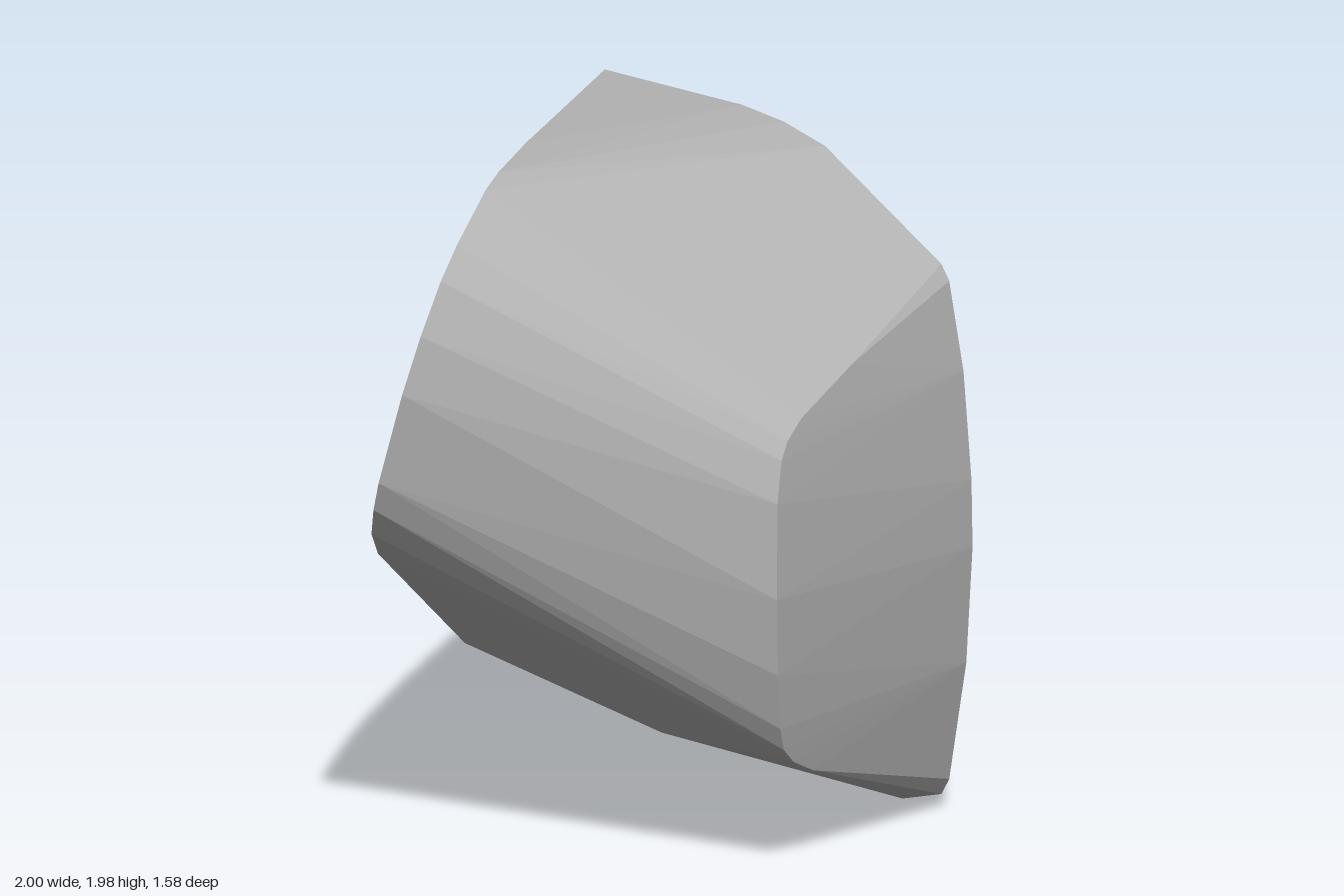
import * as THREE from 'three';
import { ConvexGeometry } from 'three/addons/geometries/ConvexGeometry.js';

// The three faces that cut the block: each gives the missing coordinate
const slantX = (y, z) => -0.737 + 0.2896 * y + 0.395 * z;
const bulgeX = (y, z) => 0.96 - 0.09 * ((y - 0.84) / 0.75) ** 2 + 0.041 * (z + 0.65);
const backZ = (x) => -0.7186 + 0.0714 * x;

export function createModel() {
  const group = new THREE.Group();
  const stone = new THREE.MeshStandardMaterial({ color: 0xb0b0b0 });
  stone.name = 'stone grey';

  // Outline of the large slanted face, as [y, z]
  const slantedFace = [
    [1.965, 0], [1.945, 0.26], [1.92, 0.36], [1.8, 0.55], [1.71, 0.64], [1.56, 0.72],
    [1.39, 0.77], [1.12, 0.79], [1.03, 0.77], [0.94, 0.72], [0.84, 0.58],
  ].map(([y, z]) => new THREE.Vector3(slantX(y, z), y, z));

  // Front edge of the small bulging face, as [y, z]
  const bulgingFace = [
    [1.45, -0.13], [1.35, 0.15], [1.3, 0.23], [1.25, 0.27], [1.13, 0.31], [0.85, 0.33],
    [0.62, 0.315], [0.45, 0.28], [0.38, 0.25], [0.33, 0.19], [0.28, 0.08],
  ].map(([y, z]) => new THREE.Vector3(bulgeX(y, z), y, z));

  // Outline of the flat back, as [x, y]
  const backFace = [
    [-1, 0.17], [-0.46, 1.98], [0.07, 1.967], [0.23, 1.945], [0.39, 1.9], [0.84, 1.625],
    [0.87, 1.58], [0.925, 1.32], [0.956, 1.0], [0.96, 0.8], [0.936, 0.45], [0.87, 0.09],
    [0.84, 0.04], [0.69, 0], [-0.24, 0.035],
  ].map(([x, y]) => new THREE.Vector3(x, y, backZ(x)));

  // Faceted skin stretched over the three outlines
  const block = new THREE.Mesh(
    new ConvexGeometry([...slantedFace, ...bulgingFace, ...backFace]), stone);
  block.name = 'cutBlock';
  group.add(block);
  return group;
}
